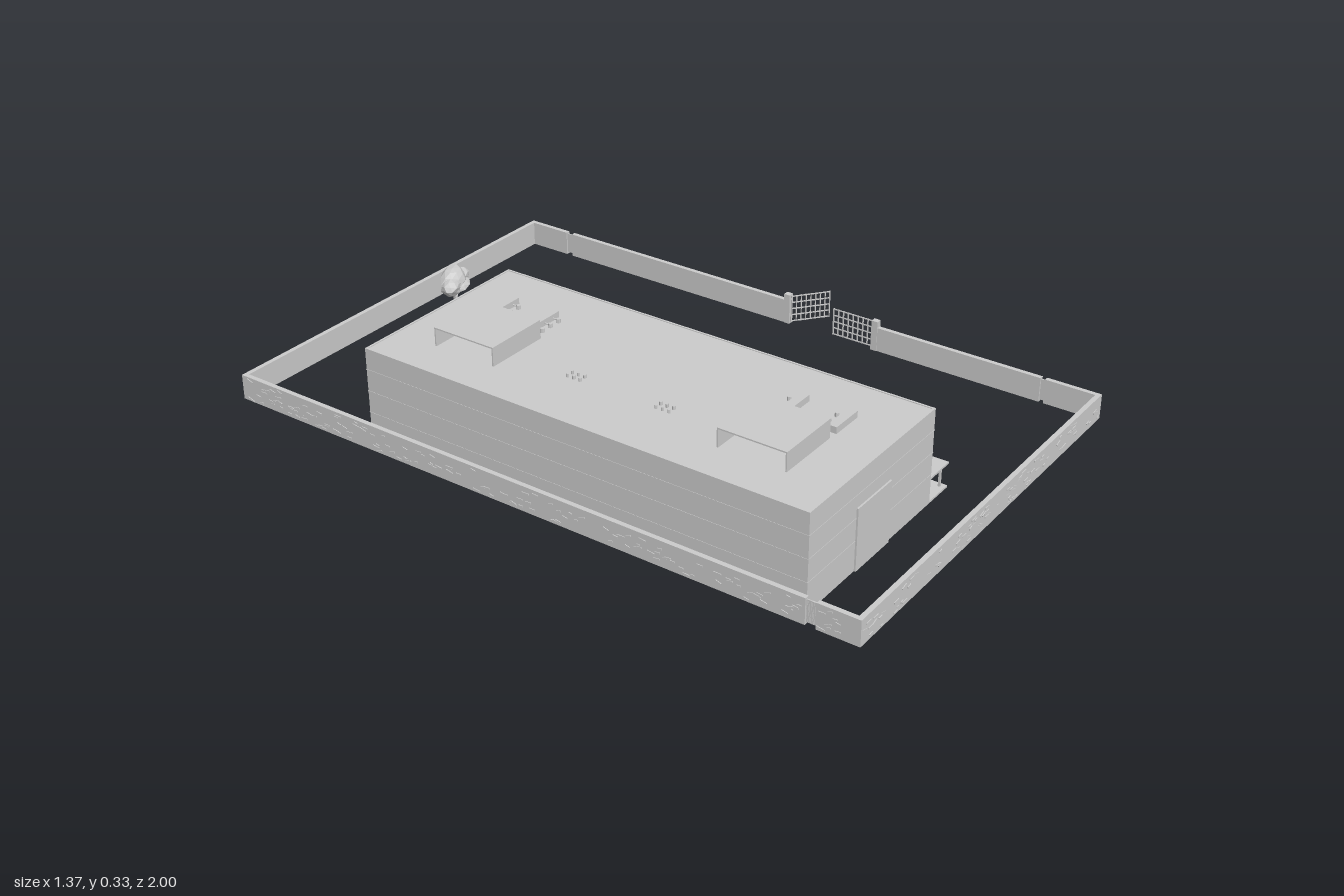
import * as THREE from 'three';
import { mergeGeometries } from 'three/addons/utils/BufferGeometryUtils.js';

const mat = new THREE.MeshStandardMaterial({ color: 0xcccccc, flatShading: true, side: THREE.DoubleSide });

// Box from its min and max corners
function box(x0, x1, y0, y1, z0, z1) {
  return new THREE.BoxGeometry(x1 - x0, y1 - y0, z1 - z0)
    .translate((x0 + x1) / 2, (y0 + y1) / 2, (z0 + z1) / 2);
}

// Round bar between two points
function bar(a, b, r0, r1 = r0, sides = 6) {
  const p = new THREE.Vector3(...a), d = new THREE.Vector3(...b).sub(p);
  const q = new THREE.Quaternion().setFromUnitVectors(new THREE.Vector3(0, 1, 0), d.clone().normalize());
  return new THREE.CylinderGeometry(r1, r0, d.length(), sides)
    .applyQuaternion(q).translate(p.x + d.x / 2, p.y + d.y / 2, p.z + d.z / 2);
}

function part(parent, name, geometries) {
  const mesh = new THREE.Mesh(mergeGeometries(geometries), mat);
  mesh.name = name;
  parent.add(mesh);
  return mesh;
}

function seeded(seed) {
  return () => (seed = (seed * 16807) % 2147483647) / 2147483647;
}

// Gate leaf of vertical and horizontal bars, hinged at the origin and running along +z
function gateLeaf(width, height) {
  const g = [];
  for (let i = 0; i <= 8; i++) {
    const z = width * i / 8;
    g.push(box(-0.002, 0.002, 0.006, height, z - 0.0014, z + 0.0014));
  }
  for (let i = 0; i <= 4; i++) {
    const y = 0.008 + (height - 0.01) * i / 4;
    g.push(box(-0.0015, 0.0015, y - 0.0015, y + 0.0015, 0, width));
  }
  return g;
}

const X0 = -0.645, X1 = -0.055, Z0 = -0.55, Z1 = 0.83, H = 0.28, MID = 0.14;

function building() {
  const g = new THREE.Group();
  g.name = 'building';
  const t = 0.006;

  // Hollow shell, open underneath
  part(g, 'outerWalls', [
    box(X0, X0 + t, 0, H, Z0, Z1), box(X1 - t, X1, 0, H, Z0, Z1),
    box(X0 + t, X1 - t, 0, H, Z0, Z0 + t), box(X0 + t, X1 - t, 0, H, Z1 - t, Z1)
  ]);
  part(g, 'roof', [box(X0 + t, X1 - t, H - 0.008, H - 0.002, Z0 + t, Z1 - t)]);

  // Thin ledges marking the storeys
  const ledges = [];
  for (const y of [0.085, 0.15, 0.215])
    ledges.push(box(X0 - 0.001, X1 + 0.001, y, y + 0.003, Z0 - 0.001, Z0),
      box(X0 - 0.001, X1 + 0.001, y, y + 0.003, Z1, Z1 + 0.001),
      box(X0 - 0.001, X0, y, y + 0.003, Z0, Z1),
      box(X1, X1 + 0.001, y, y + 0.003, Z0, Z1));
  part(g, 'storeyLedges', ledges);

  // Raised panels: two at the ends, one over the entrance, one blank sign board
  part(g, 'endPanels', [
    box(-0.43, -0.27, 0, 0.18, Z1, Z1 + 0.005), box(-0.43, -0.27, 0, 0.18, Z0 - 0.005, Z0)
  ]);
  part(g, 'entrancePanel', [box(X1, X1 + 0.003, 0.078, 0.21, -0.05, 0.34)]);
  part(g, 'signBoard', [box(X1, X1 + 0.006, 0.212, 0.25, -0.04, 0.31)]);

  // Covered walkway
  part(g, 'walkwayRoof', [box(X1, 0.04, 0.071, 0.077, Z0, Z1)]);
  part(g, 'walkwayFloor', [box(X1, 0.04, 0, 0.006, Z0, Z1)]);
  const posts = [];
  for (let i = 0; i < 14; i++) {
    const z = Z0 + 0.015 + (Z1 - Z0 - 0.03) * i / 13;
    posts.push(box(0.022, 0.028, 0.006, 0.071, z - 0.003, z + 0.003));
  }
  part(g, 'walkwayPosts', posts);

  // Rooftop equipment, mirrored about the middle
  const rooms = [], units = [], fans = [], vents = [];
  for (const s of [-1, 1]) {
    const zc = MID + s * 0.45, a = zc - 0.1, b = zc + 0.1;
    rooms.push(box(-0.525, -0.33, 0.329, 0.333, a, b), box(-0.334, -0.33, H - 0.004, 0.329, a, b),
      box(-0.525, -0.334, H - 0.004, 0.329, a, a + 0.004), box(-0.525, -0.334, H - 0.004, 0.329, b - 0.004, b));
    for (const d of [0.4, 0.54]) {
      const z = MID + s * d, zf = z - s * 0.031;
      units.push(box(-0.305, -0.205, H - 0.004, 0.297, z - 0.013, z + 0.013));
      for (const x of [-0.3, -0.265, -0.23]) {
        fans.push(bar([x, H - 0.004, zf], [x, 0.29, zf], 0.006, 0.006, 8));
        fans.push(bar([x, 0.285, zf], [x, 0.285, z], 0.0025));
      }
    }
    for (const x of [-0.456, -0.436])
      for (const dz of [-0.02, 0, 0.02]) {
        const z = MID + s * 0.14 + dz;
        vents.push(bar([x, H - 0.004, z], [x, 0.288, z], 0.004, 0.004, 8));
      }
  }
  part(g, 'roofRooms', rooms);
  part(g, 'coolingUnits', units);
  part(g, 'coolingPipes', fans);
  part(g, 'roofVents', vents);
  return g;
}

function perimeter() {
  const g = new THREE.Group();
  g.name = 'perimeter';
  const L = -0.685, R = 0.6, t = 0.014, h = 0.075, rnd = seeded(77);
  const walls = [], stones = [], gates = [];

  // Run along x or z; out is the outward side, where the stones are set
  const run = (alongX, a, b, outer, out) => {
    const c = outer - out * t, lo = Math.min(c, outer), hi = Math.max(c, outer);
    walls.push(alongX ? box(a, b, 0, h, lo, hi) : box(lo, hi, 0, h, a, b));
    const n = Math.round((b - a) * 75);
    for (let i = 0; i < n; i++) {
      const w = 0.005 + rnd() * 0.007, p = a + w + rnd() * (b - a - 2 * w);
      const y = 0.006 + rnd() * 0.06;
      const s = new THREE.BoxGeometry(2 * w, 0.004, 0.004).rotateZ((rnd() - 0.5) * 0.7);
      if (!alongX) s.rotateY(Math.PI / 2);
      stones.push(alongX ? s.translate(p, y, outer) : s.translate(outer, y, p));
    }
  };
  run(true, L, R, 1, 1);
  run(true, L, R, -1, -1);
  run(false, -1 + t, 0.85, L, -1);
  run(false, 0.88, 1 - t, L, -1);
  for (const [a, b] of [[-1 + t, -0.852], [-0.83, -0.012], [0.29, 0.822], [0.836, 1 - t]])
    run(false, a, b, R, 1);
  part(g, 'boundaryWalls', walls);
  part(g, 'wallStones', stones);

  // Small side gates in the wall gaps
  for (const [x, z, w] of [[L + t / 2, 0.85, 0.03], [R - t / 2, -0.852, 0.022], [R - t / 2, 0.822, 0.014]])
    gates.push(...gateLeaf(w, 0.07).map(b => b.translate(x, 0, z)));
  part(g, 'sideGates', gates);

  // Main gate: one leaf closed, one swung outward
  part(g, 'gatePosts', [box(0.584, 0.602, 0, 0.095, -0.022, -0.002), box(0.584, 0.602, 0, 0.095, 0.28, 0.3)]);
  part(g, 'closedGateLeaf', gateLeaf(0.133, 0.092)).position.set(0.593, 0, 0.147);
  const open = part(g, 'openGateLeaf', gateLeaf(0.12, 0.092));
  open.position.set(0.592, 0, 0.001);
  open.rotation.y = 0.89;
  return g;
}

function garden() {
  const g = new THREE.Group();
  g.name = 'garden';

  // Tree crown of faceted lobes
  const crown = [];
  for (const [x, y, z, rx, ry, rz] of [
    [0.06, 0.115, -0.87, 0.055, 0.038, 0.036], [0.025, 0.105, -0.85, 0.037, 0.026, 0.03],
    [0.1, 0.105, -0.885, 0.038, 0.027, 0.033], [0.07, 0.098, -0.86, 0.05, 0.02, 0.035]]) {
    const lobe = new THREE.IcosahedronGeometry(1, 1), p = lobe.attributes.position;
    for (let i = 0; i < p.count; i++) {
      const k = 1 + 0.09 * Math.sin(7 * p.getX(i) + 5 * p.getY(i) + 9 * p.getZ(i) + x * 90);
      p.setXYZ(i, p.getX(i) * k, p.getY(i) * k, p.getZ(i) * k);
    }
    crown.push(lobe.scale(rx, ry, rz).rotateY(0.4).translate(x, y, z));
  }
  part(g, 'treeCrown', crown);
  part(g, 'treeTrunk', [
    bar([0.06, 0, -0.865], [0.06, 0.045, -0.865], 0.008, 0.006),
    bar([0.06, 0.04, -0.865], [0.03, 0.095, -0.852], 0.005, 0.003),
    bar([0.06, 0.04, -0.865], [0.095, 0.095, -0.882], 0.005, 0.003),
    bar([0.06, 0.04, -0.865], [0.063, 0.1, -0.865], 0.005, 0.003)
  ]);

  // Two benches
  const benches = [];
  for (const x of [-0.02, 0.178]) {
    benches.push(box(x - 0.027, x + 0.027, 0.014, 0.018, -0.853, -0.836));
    for (const d of [-0.018, 0.018]) benches.push(box(x + d - 0.003, x + d + 0.003, 0, 0.014, -0.851, -0.838));
  }
  part(g, 'benches', benches);
  return g;
}

export function createModel() {
  const model = new THREE.Group();
  model.name = 'walledBuilding';
  model.add(building(), perimeter(), garden());
  return model;
}
